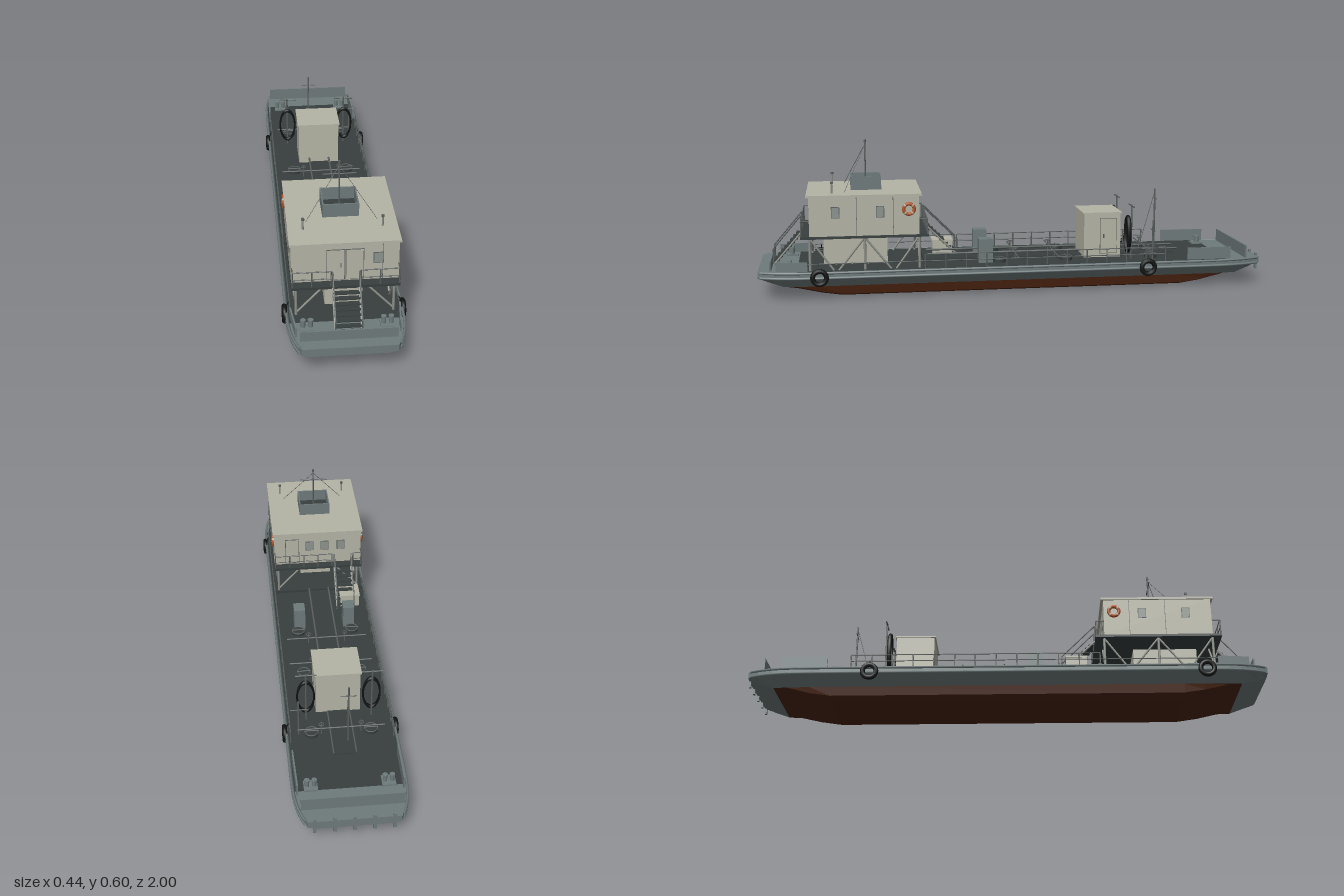
import * as THREE from 'three';

const mat = (name, color, side = THREE.FrontSide) => Object.assign(new THREE.MeshStandardMaterial({ color, side }), { name });
const V = (x, y, z) => new THREE.Vector3(x, y, z);
const DECK = 0.11;

export function createModel() {
  const grey = mat('hullGrey', 0x6e7a7b), brown = mat('bottomBrown', 0x4a2410), dark = mat('deckDark', 0x383f3f);
  const cream = mat('cabinCream', 0xb5b5a6), steel = mat('railSteel', 0x5c6260), black = mat('rubberBlack', 0x121414);
  const orange = mat('buoyOrange', 0xb4552a), glass = mat('windowGlass', 0x8d958f), pale = mat('paleSteel', 0x8e928a);
  const model = new THREE.Group();
  const group = (name) => { const g = new THREE.Group(); g.name = name; model.add(g); return g; };
  const add = (g, name, geo, m, x = 0, y = 0, z = 0) => {
    const mesh = new THREE.Mesh(geo, m);
    mesh.name = name; mesh.position.set(x, y, z); g.add(mesh);
    return mesh;
  };
  // box given by centre x/z, bottom y and size
  const box = (g, name, m, x, y, z, w, h, d) => add(g, name, new THREE.BoxGeometry(w, h, d), m, x, y + h / 2, z);
  // round bar between two points
  const rod = (g, name, m, a, b, r = 0.0025) => {
    const mesh = add(g, name, new THREE.CylinderGeometry(r, r, a.distanceTo(b), 8), m);
    mesh.position.copy(a).lerp(b, 0.5);
    mesh.quaternion.setFromUnitVectors(V(0, 1, 0), b.clone().sub(a).normalize());
    return mesh;
  };
  // upright plate between two plan points
  const wall = (g, name, x1, z1, x2, z2, y, h) => {
    const mesh = box(g, name, grey, (x1 + x2) / 2, y, (z1 + z2) / 2, Math.hypot(x2 - x1, z2 - z1), h, 0.006);
    mesh.rotation.y = -Math.atan2(z2 - z1, x2 - x1);
  };
  const sides = [-1, 1];

  // Hull: lofted sections [z, half width, keel height]
  const half = [[0.68, 0.2, 0], [0.76, 0.2, 0.012], [0.85, 0.198, 0.032], [0.9, 0.193, 0.045], [0.96, 0.18, 0.064], [1, 0.165, 0.078]];
  const stations = [...half.map(([z, w, b]) => [-z, w, b]).reverse(), ...half];
  const ring = ([z, w, b]) => {
    const k = w - 0.036, ky = Math.max(0.046, b), cy = Math.min(ky, b + 0.012);
    const right = [[k - 0.04, b], [k - 0.007, cy], [k, ky], [w, 0.085], [w, DECK]];
    return [...right.map(([x, y]) => V(x, y, z)).reverse().map((p) => V(-p.x, p.y, z)), ...right.map(([x, y]) => V(x, y, z))];
  };
  const faces = new Map([[grey, []], [brown, []], [dark, []]]);
  const tri = (m, ...ps) => ps.forEach((p) => faces.get(m).push(p.x, p.y, p.z));
  const rings = stations.map(ring);
  for (let s = 0; s < rings.length - 1; s++) {
    const A = rings[s], B = rings[s + 1];
    const mid = Math.abs((stations[s][0] + stations[s + 1][0]) / 2);
    for (let i = 0; i < 10; i++) {
      const j = (i + 1) % 10;
      let m = grey;
      if (i === 9) m = mid < 0.87 ? dark : grey;
      else if (i >= 2 && i <= 6) m = mid < 0.89 ? brown : grey;
      tri(m, A[i], A[j], B[j]);
      tri(m, A[i], B[j], B[i]);
    }
  }
  const bowRing = rings[rings.length - 1], sternRing = rings[0];
  for (let i = 1; i < 9; i++) {
    tri(grey, bowRing[0], bowRing[i], bowRing[i + 1]);
    tri(grey, sternRing[0], sternRing[i + 1], sternRing[i]);
  }
  const hull = group('hull');
  for (const [m, pos] of faces) {
    const g = new THREE.BufferGeometry();
    g.setAttribute('position', new THREE.Float32BufferAttribute(pos, 3));
    g.computeVertexNormals();
    add(hull, m === brown ? 'hullBottom' : m === dark ? 'deck' : 'hullSides', g, m);
  }

  // Rubbing rails, bulwarks, tyre fenders and stern fender bars
  const trim = group('hullTrim');
  for (const sx of sides) {
    for (const y of [0.087, 0.107]) {
      const path = new THREE.CatmullRomCurve3(stations.map(([z, w]) => V(sx * (w + 0.006), y, z * 0.99)));
      add(trim, 'rubbingRail', new THREE.TubeGeometry(path, 80, 0.005, 6), grey);
    }
    wall(trim, 'bowSideBulwark', sx * 0.193, 0.81, sx * 0.18, 0.93, 0.112, 0.036);
    wall(trim, 'sternSideBulwark', sx * 0.194, -0.69, sx * 0.19, -0.87, 0.112, 0.048);
    for (const z of [0.765, -0.525]) {
      const tyre = add(trim, 'tyreFender', new THREE.TorusGeometry(0.026, 0.0095, 10, 24), black, sx * 0.211, 0.09, z);
      tyre.rotation.y = Math.PI / 2;
      rod(trim, 'fenderRope', black, V(sx * 0.211, 0.11, z), V(sx * 0.195, 0.14, z), 0.002);
    }
  }
  wall(trim, 'bowBulwark', -0.168, 0.952, 0.168, 0.952, DECK, 0.038);
  wall(trim, 'sternBulwark', -0.183, -0.938, 0.183, -0.938, DECK, 0.05);
  for (let i = -2; i <= 2; i++) box(trim, 'sternFender', grey, i * 0.07, 0.055, -0.996, 0.012, 0.065, 0.008);

  // Side railings along the deck
  const rails = group('deckRailings');
  for (const sx of sides) {
    const x = sx * 0.193;
    for (let i = 0; i <= 12; i++) rod(rails, 'railPost', steel, V(x, DECK, 0.36 - i * 0.08), V(x, 0.166, 0.36 - i * 0.08));
    for (const y of [0.14, 0.166]) rod(rails, 'handrail', steel, V(x, y, 0.36), V(x, y, -0.6), 0.002);
    for (const [a, b] of [[0.36, 0.81]]) rod(rails, 'handrail', steel, V(x, 0.14, a), V(x, 0.14, b), 0.002);
  }

  // Deck pipework, hatches, bollards and vents
  const fit = group('deckFittings');
  box(fit, 'pipeWalkway', dark, 0, DECK, -0.16, 0.08, 0.004, 1.04);
  for (const sx of sides) {
    rod(fit, 'cargoPipe', steel, V(sx * 0.042, 0.135, 0.34), V(sx * 0.042, 0.135, -0.28), 0.004);
    rod(fit, 'sternPipe', steel, V(sx * 0.042, 0.13, -0.46), V(sx * 0.042, 0.13, -0.69), 0.003);
    for (const z of [-0.56, -0.21, 0.06]) {
      add(fit, 'roundHatch', new THREE.CylinderGeometry(0.025, 0.025, 0.014, 20), dark, sx * 0.112, DECK + 0.007, z);
      add(fit, 'hatchRim', new THREE.TorusGeometry(0.025, 0.002, 6, 20).rotateX(Math.PI / 2), steel, sx * 0.112, DECK + 0.014, z);
      rod(fit, 'hatchBar', steel, V(sx * 0.085, 0.127, z), V(sx * 0.139, 0.127, z), 0.002);
    }
    for (const z of [-0.56, -0.17, -0.01]) {
      rod(fit, 'crossPipe', steel, V(0, 0.135, z), V(sx * 0.165, 0.135, z), 0.0028);
      rod(fit, 'valveStem', steel, V(sx * 0.075, DECK, z), V(sx * 0.075, 0.155, z));
      add(fit, 'valveWheel', new THREE.TorusGeometry(0.009, 0.0018, 6, 14).rotateX(Math.PI / 2), steel, sx * 0.075, 0.155, z);
    }
    for (const z of [-0.83, 0.88]) {
      box(fit, 'bollardBase', grey, sx * 0.14, DECK, z, 0.05, 0.006, 0.05);
      for (const o of sides) {
        add(fit, 'bollard', new THREE.CylinderGeometry(0.008, 0.008, 0.03, 12), grey, sx * 0.14 + o * 0.013, DECK + 0.015, z);
        add(fit, 'bollardCap', new THREE.CylinderGeometry(0.01, 0.01, 0.005, 12), grey, sx * 0.14 + o * 0.013, DECK + 0.032, z);
      }
    }
    box(fit, 'ventBox', grey, sx * 0.103, DECK, 0.115, 0.046, 0.095, 0.055);
    // hanging hose loop on its hook post
    rod(fit, 'hosePost', steel, V(sx * 0.125, DECK, -0.475), V(sx * 0.125, 0.33, -0.475), 0.0035);
    rod(fit, 'hoseHook', steel, V(sx * 0.085, 0.325, -0.475), V(sx * 0.165, 0.325, -0.475), 0.003);
    add(fit, 'hoseLoop', new THREE.TorusGeometry(0.07, 0.008, 8, 36), black, sx * 0.125, 0.21, -0.46).scale.x = 0.46;
  }
  for (const [x, z, top] of [[-0.02, -0.61, 0.37], [0.16, -0.555, 0.27]]) {
    rod(fit, 'sternMast', steel, V(x, DECK, z), V(x, top, z), 0.0035);
    rod(fit, 'sternMastArm', steel, V(x - 0.03, top - 0.04, z), V(x + 0.03, top - 0.04, z), 0.002);
  }
  rod(fit, 'sternMastStay', steel, V(-0.02, 0.36, -0.61), V(-0.02, DECK, -0.54), 0.0012);
  box(fit, 'breakwater', dark, 0, DECK, 0.355, 0.39, 0.012, 0.006);

  // Deck store with a door
  const store = group('deckStore');
  box(store, 'storeBody', cream, 0, DECK, -0.365, 0.17, 0.178, 0.15);
  box(store, 'storeRoof', cream, 0, 0.288, -0.365, 0.18, 0.006, 0.16);
  box(store, 'storeDoorEdge', steel, 0.0855, 0.125, -0.39, 0.002, 0.145, 0.07);
  box(store, 'storeDoor', cream, 0.0865, 0.127, -0.39, 0.002, 0.141, 0.066);
  box(store, 'storeDoorHandle', steel, 0.089, 0.19, -0.37, 0.004, 0.016, 0.004);

  // Cabin on its raised platform
  const cabin = group('cabin');
  box(cabin, 'platform', dark, 0, 0.235, 0.59, 0.378, 0.01, 0.49);
  box(cabin, 'cabinWalls', cream, 0, 0.245, 0.59, 0.374, 0.151, 0.42);
  box(cabin, 'cabinRoof', cream, 0, 0.395, 0.59, 0.386, 0.009, 0.44);
  box(cabin, 'engineHouse', cream, 0, DECK, 0.625, 0.134, 0.125, 0.25);
  box(cabin, 'stowageBox', cream, -0.125, DECK, 0.27, 0.08, 0.05, 0.08);
  box(cabin, 'stowageLid', cream, -0.125, 0.16, 0.27, 0.086, 0.006, 0.086);
  // thin framed panel on a cabin face; dir is the outward axis
  const panel = (name, inner, x, y, z, w, h, axis, s) => {
    [[steel, 0, 0.001], [inner, 0.005, 0.002]].forEach(([m, cut, out], i) => {
      const t = 0.002, ww = w - cut, hh = h - cut, label = i ? name : name + 'Frame';
      if (axis === 'x') box(cabin, label, m, x + s * out, y - hh / 2, z, t, hh, ww);
      else box(cabin, label, m, x, y - hh / 2, z + s * out, ww, hh, t);
    });
  };
  for (const s of sides) {
    panel('frontDoor', cream, s * 0.033, 0.311, 0.8, 0.064, 0.124, 'z', 1);
    for (const z of [0.7, 0.53]) panel('sideWindow', glass, s * 0.187, 0.337, z, 0.032, 0.044, 'x', s);
    for (const z of [0.62, 0.48]) box(cabin, 'wallSeam', steel, s * 0.187, 0.245, z, 0.002, 0.15, 0.002);
  }
  box(cabin, 'doorHandle', steel, -0.015, 0.302, 0.804, 0.004, 0.017, 0.005);
  panel('frontWindow', glass, 0.115, 0.333, 0.8, 0.036, 0.044, 'z', 1);
  box(cabin, 'frontSeam', steel, 0.13, 0.245, 0.8, 0.002, 0.15, 0.002);
  panel('backDoor', cream, 0.11, 0.309, 0.38, 0.06, 0.12, 'z', -1);
  for (const x of [0.035, -0.03, -0.1]) panel('backWindow', glass, x, 0.333, 0.38, 0.034, 0.044, 'z', -1);

  // Lifebuoys with pale bands
  for (const s of sides) {
    const buoy = add(cabin, 'lifebuoy', new THREE.TorusGeometry(0.02, 0.0068, 10, 28), orange, s * 0.19, 0.345, 0.42);
    buoy.rotation.y = Math.PI / 2;
    for (let i = 0; i < 4; i++) {
      const band = add(buoy, 'lifebuoyBand', new THREE.TorusGeometry(0.02, 0.0073, 8, 4, 0.3), cream);
      band.rotation.z = i * Math.PI / 2 + 0.64;
    }
  }

  // Platform posts and diagonal braces
  for (const s of sides) {
    const x = s * 0.172;
    for (const z of [0.38, 0.59, 0.8]) rod(cabin, 'platformPost', pale, V(x, DECK, z), V(x, 0.236, z), 0.005);
    for (const [a, b] of [[0.38, 0.47], [0.59, 0.49], [0.59, 0.69], [0.8, 0.71]]) rod(cabin, 'sideBrace', pale, V(x, 0.236, a), V(x, DECK, b), 0.004);
    for (const z of [0.38, 0.8]) rod(cabin, 'crossBrace', pale, V(s * 0.065, 0.234, z), V(s * 0.17, 0.12, z), 0.004);
  }

  // Platform railings; back one leaves a gap at the stairs
  const platformRail = (x1, x2, z, n) => {
    for (let i = 0; i <= n; i++) {
      const x = x1 + (x2 - x1) * i / n;
      rod(cabin, 'platformRailPost', steel, V(x, 0.245, z), V(x, 0.305, z));
    }
    for (const y of [0.275, 0.305]) rod(cabin, 'platformHandrail', steel, V(x1, y, z), V(x2, y, z), 0.002);
  };
  for (const s of sides) {
    platformRail(s * 0.052, s * 0.185, 0.831, 2);
    for (const z of [0.815, 0.365]) rod(cabin, 'platformReturnRail', steel, V(s * 0.185, 0.305, z - 0.016), V(s * 0.185, 0.305, z + 0.016), 0.002);
  }
  platformRail(-0.06, 0.185, 0.349, 4);
  platformRail(-0.185, -0.15, 0.349, 1);

  // Stairs with treads, stringers and handrails
  const stairs = (x, hw, zTop, zBot) => {
    for (let i = 1; i < 9; i++) {
      box(cabin, 'stairTread', dark, x, 0.238 - i * 0.0142, zTop + (zBot - zTop) * i / 9, hw * 2, 0.004, 0.02);
    }
    for (const s of sides) {
      const sx = x + s * hw;
      rod(cabin, 'stairStringer', pale, V(sx, 0.238, zTop), V(sx, DECK, zBot), 0.004);
      rod(cabin, 'stairHandrail', steel, V(sx, 0.305, zTop), V(sx, 0.175, zBot), 0.0025);
      rod(cabin, 'stairTopPost', steel, V(sx, 0.24, zTop), V(sx, 0.305, zTop));
      rod(cabin, 'stairFootPost', steel, V(sx, DECK, zBot), V(sx, 0.175, zBot));
    }
  };
  stairs(0, 0.046, 0.835, 0.945);
  stairs(-0.105, 0.036, 0.345, 0.215);

  // Roof: open box, mast with stays, exhaust pipes
  const roof = group('roofGear');
  for (const s of sides) {
    box(roof, 'roofBoxSide', grey, s * 0.0625, 0.404, 0.58, 0.005, 0.051, 0.12);
    box(roof, 'roofBoxEnd', grey, 0, 0.404, 0.58 + s * 0.0575, 0.13, 0.051, 0.005);
    rod(roof, 'exhaustPipe', pale, V(s * 0.139, 0.4, 0.712), V(s * 0.139, 0.445, 0.712), 0.0035);
    rod(roof, 'exhaustCap', steel, V(s * 0.139, 0.441, 0.712), V(s * 0.139, 0.449, 0.712), 0.0055);
    rod(roof, 'mastStay', steel, V(0, 0.577, 0.58), V(s * 0.126, 0.404, 0.665), 0.001);
  }
  box(roof, 'roofBoxFloor', dark, 0, 0.404, 0.58, 0.12, 0.004, 0.11);
  rod(roof, 'mast', steel, V(0, 0.404, 0.58), V(0, 0.587, 0.58), 0.003);
  rod(roof, 'mastLamp', steel, V(0, 0.584, 0.58), V(0, 0.595, 0.58), 0.005);
  rod(roof, 'mastCrossarm', steel, V(-0.06, 0.544, 0.58), V(0.06, 0.544, 0.58), 0.002);
  return model;
}
